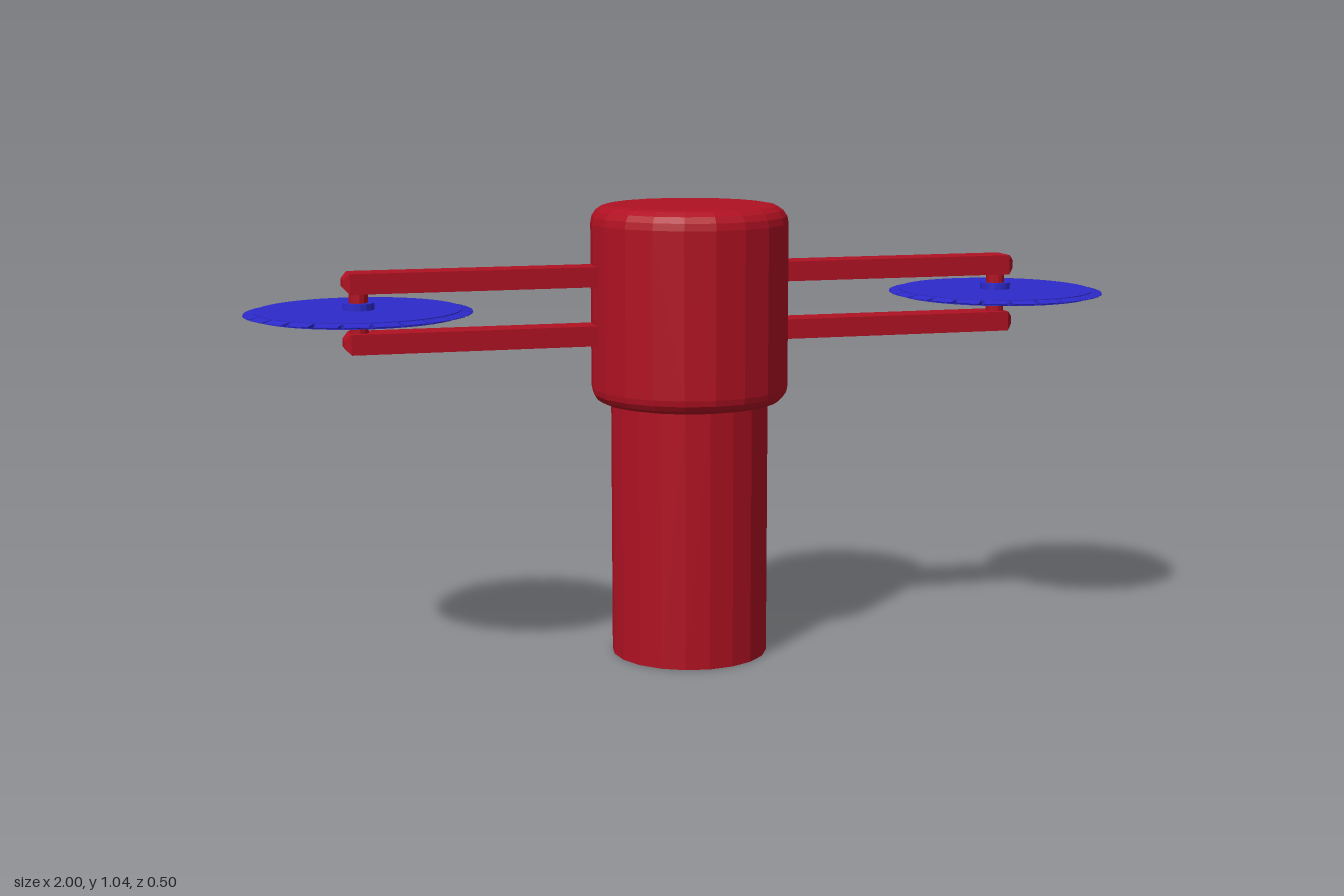
import * as THREE from 'three';

const red = new THREE.MeshStandardMaterial({ color: 0xb01122, flatShading: true });
const blue = new THREE.MeshStandardMaterial({ color: 0x2d2acc, flatShading: true });

function add(parent, name, geometry, material, x = 0, y = 0, z = 0) {
  const mesh = new THREE.Mesh(geometry, material);
  mesh.name = name;
  mesh.position.set(x, y, z);
  parent.add(mesh);
  return mesh;
}

// Long bar whose two ends are chamfered
function barGeometry(halfLength, height, depth, chamfer) {
  const geo = new THREE.BoxGeometry(3, height, depth, 3, 1, 1);
  const p = geo.attributes.position;
  for (let i = 0; i < p.count; i++) {
    const x = p.getX(i);
    const end = Math.abs(x) > 1;
    p.setX(i, Math.sign(x) * (end ? halfLength : halfLength - chamfer));
    if (end) {
      p.setY(i, p.getY(i) - Math.sign(p.getY(i)) * chamfer);
      p.setZ(i, p.getZ(i) - Math.sign(p.getZ(i)) * chamfer);
    }
  }
  return geo;
}

// Blade tooth: a wedge that thins toward the rim
function toothGeometry(inner, outer, thickness, width) {
  const geo = new THREE.BoxGeometry(outer - inner, thickness, width);
  geo.translate((inner + outer) / 2, 0, 0);
  const p = geo.attributes.position;
  for (let i = 0; i < p.count; i++) {
    if (p.getX(i) > (inner + outer) / 2) {
      p.setY(i, p.getY(i) * 0.1);
      p.setZ(i, p.getZ(i) * 0.92);
    }
  }
  return geo;
}

function createSaw() {
  const saw = new THREE.Group();
  saw.name = 'sawBlade';
  add(saw, 'disc', new THREE.CylinderGeometry(0.226, 0.226, 0.014, 48), blue);
  add(saw, 'hub', new THREE.CylinderGeometry(0.035, 0.035, 0.044, 16), blue);
  const teeth = 24;
  const tooth = toothGeometry(0.216, 0.249, 0.0135, 0.056);
  for (let i = 0; i < teeth; i++) {
    add(saw, 'tooth', tooth, blue).rotation.y = ((i + 0.5) / teeth) * Math.PI * 2;
  }
  return saw;
}

export function createModel() {
  const model = new THREE.Group();
  model.name = 'sawTower';

  // Column
  add(model, 'column', new THREE.CylinderGeometry(0.18, 0.18, 0.6, 20), red, 0, 0.3, 0);

  // Head with rounded top and bottom edges
  const profile = [new THREE.Vector2(0, 0.59)];
  const bottom = 0.59, top = 1.04, radius = 0.225;
  const corner = (y, r, from) => {
    for (let i = 0; i <= 4; i++) {
      const a = from + (i / 4) * Math.PI / 2;
      profile.push(new THREE.Vector2(radius - r + r * Math.cos(a), y + r * Math.sin(a)));
    }
  };
  corner(bottom + 0.035, 0.035, -Math.PI / 2);
  corner(top - 0.042, 0.042, 0);
  profile.push(new THREE.Vector2(0, top));
  add(model, 'head', new THREE.LatheGeometry(profile, 20), red);

  // Two bars running through the head
  const bar = barGeometry(0.785, 0.045, 0.07, 0.014);
  add(model, 'upperArm', bar, red, 0, 0.884, 0);
  add(model, 'lowerArm', bar, red, 0, 0.751, 0);

  // Axle and saw blade at each end
  for (const side of [-1, 1]) {
    add(model, 'axle', new THREE.CylinderGeometry(0.021, 0.021, 0.12, 12), red, side * 0.75, 0.818, 0);
    const saw = createSaw();
    saw.position.set(side * 0.75, 0.818, 0);
    model.add(saw);
  }
  return model;
}
